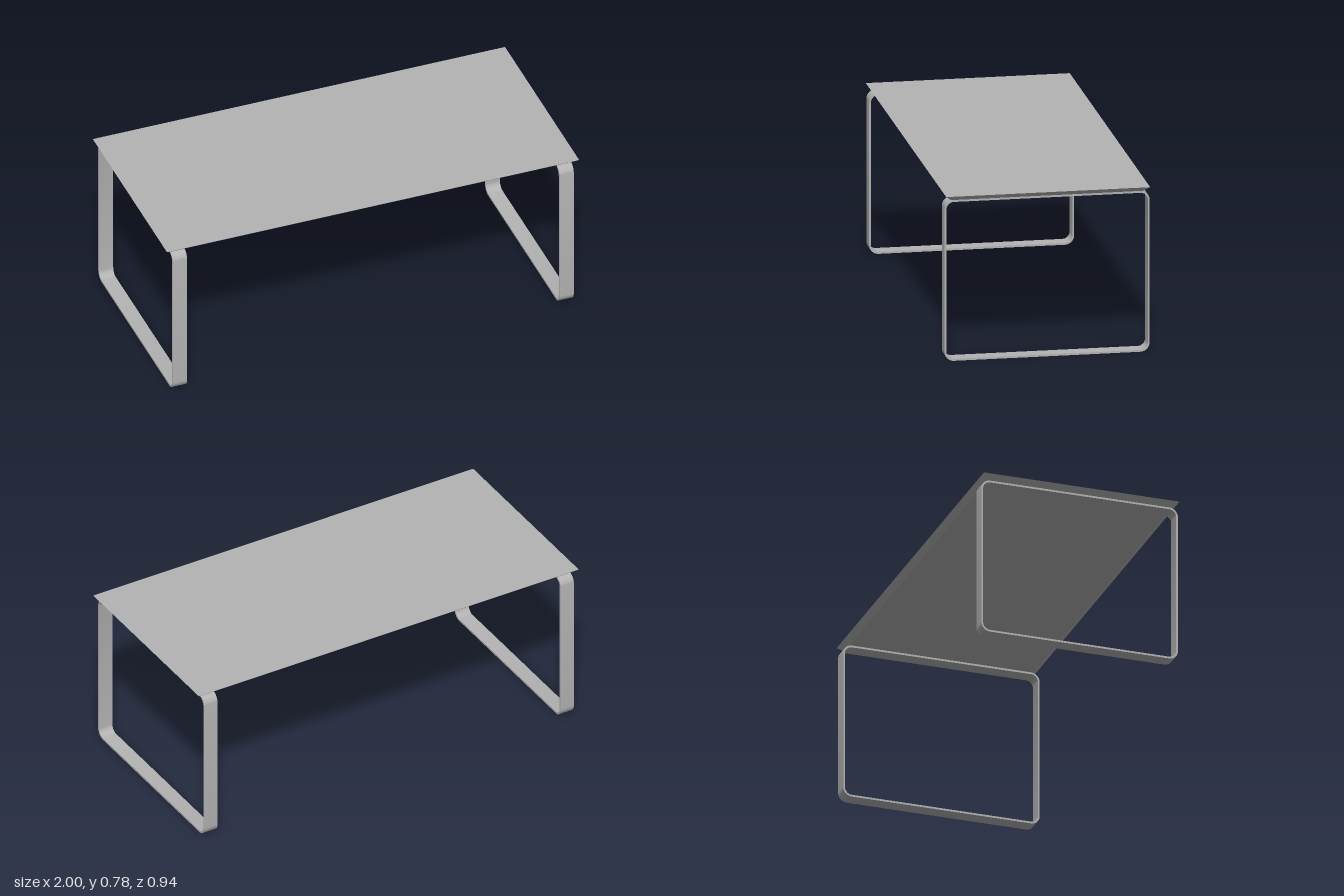
import * as THREE from 'three';
import { toCreasedNormals } from 'three/addons/utils/BufferGeometryUtils.js';

// Adds a rounded rectangle, centred on x and spanning y0..y1, to a path
function roundedRect(path, halfW, y0, y1, r) {
  path.moveTo(halfW - r, y0);
  path.absarc(halfW - r, y0 + r, r, -Math.PI / 2, 0);
  path.absarc(halfW - r, y1 - r, r, 0, Math.PI / 2);
  path.absarc(-halfW + r, y1 - r, r, Math.PI / 2, Math.PI);
  path.absarc(-halfW + r, y0 + r, r, Math.PI, Math.PI * 1.5);
  path.closePath();
  return path;
}

export function createModel() {
  const model = new THREE.Group();
  model.name = 'table';
  const grey = new THREE.MeshStandardMaterial({ color: 0xb3b3b3 });
  grey.name = 'grey';

  const legTop = 0.755, topHeight = 0.023, inset = 0.028;

  // Table top: a slab whose underside is drawn in to bevel all four edges
  const slab = new THREE.BoxGeometry(2, topHeight, 0.94).toNonIndexed();
  const pos = slab.attributes.position;
  for (let i = 0; i < pos.count; i++) {
    if (pos.getY(i) < 0) {
      pos.setX(i, pos.getX(i) - Math.sign(pos.getX(i)) * inset);
      pos.setZ(i, pos.getZ(i) - Math.sign(pos.getZ(i)) * inset);
    }
  }
  slab.computeVertexNormals();
  const top = new THREE.Mesh(slab, grey);
  top.name = 'tableTop';
  top.position.y = legTop + topHeight / 2;
  model.add(top);

  // Leg frames: flat bar bent into a rounded rectangular loop
  const loop = roundedRect(new THREE.Shape(), 0.472, 0, legTop, 0.042);
  loop.holes.push(roundedRect(new THREE.Path(), 0.464, 0.009, legTop - 0.009, 0.034));
  const width = 0.07;
  const frame = new THREE.ExtrudeGeometry(loop, { depth: width, bevelEnabled: false, curveSegments: 10 });
  frame.translate(0, 0, -width / 2);
  frame.rotateY(Math.PI / 2);
  const frameGeometry = toCreasedNormals(frame, Math.PI / 6);

  for (const side of [1, -1]) {
    const leg = new THREE.Mesh(frameGeometry, grey);
    leg.name = side > 0 ? 'leftLegFrame' : 'rightLegFrame';
    leg.position.x = side * 0.938;
    model.add(leg);
  }
  return model;
}
